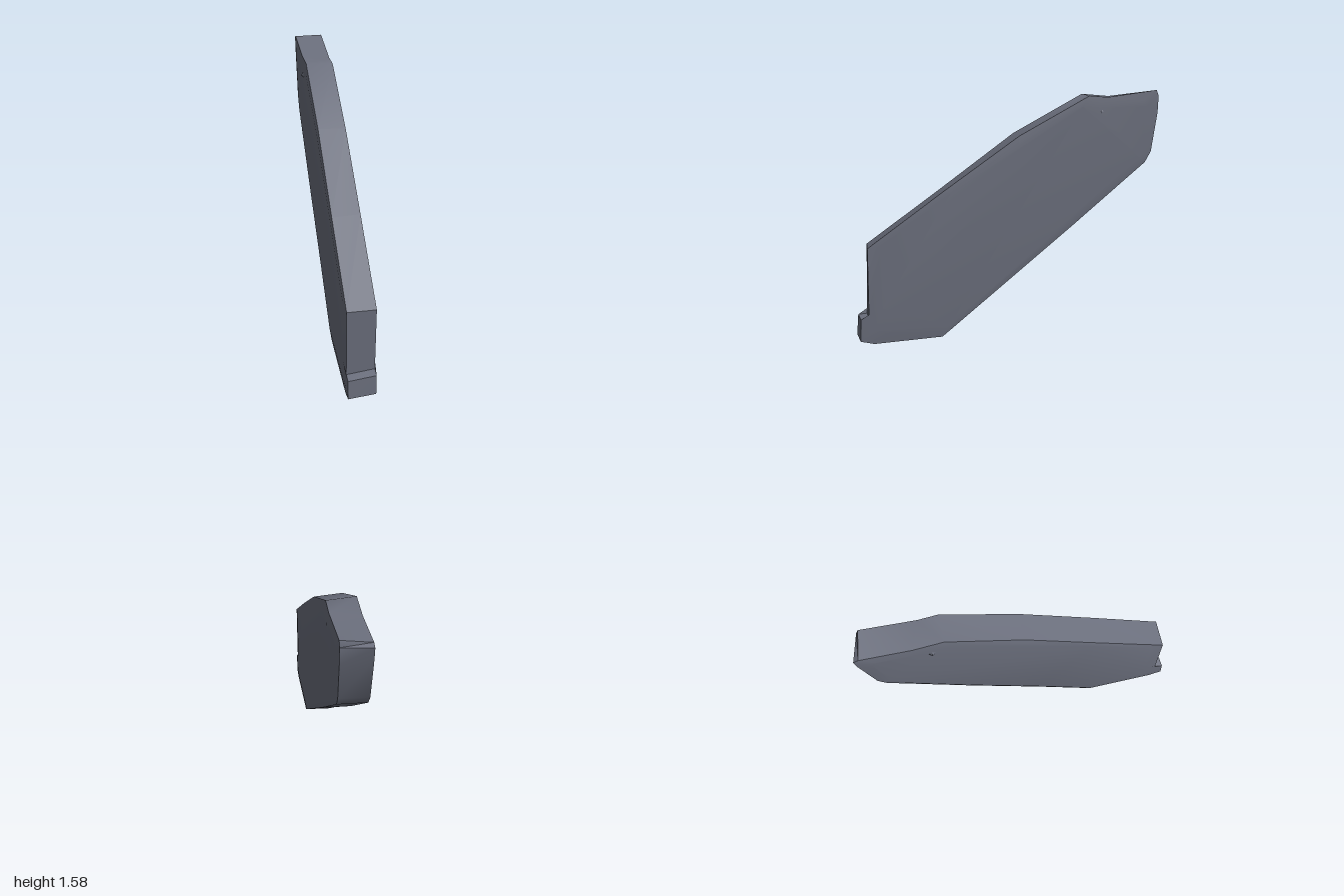
import * as THREE from 'three';
import { toCreasedNormals } from 'three/addons/utils/BufferGeometryUtils.js';

// Outline corners: [z, y] on the right side (-x), then [z, y] on the left side (+x)
const OUTLINE = [
  [1.0, 0.03, 0.985, 0.03],
  [0.99, 0.16, 0.98, 0.17],
  [0.935, 0.165, 0.93, 0.18],
  [0.925, 0.62, 0.93, 0.62],
  [0.45, 0.96, 0.45, 0.965],
  [-0.03, 1.31, -0.03, 1.3],
  [-0.49, 1.56, -0.49, 1.55],
  [-0.67, 1.545, -0.61, 1.54],
  [-0.97, 1.575, -0.94, 1.585],
  [-1.0, 1.56, -0.955, 1.55],
  [-0.99, 1.48, -0.95, 1.44],
  [-0.925, 1.19, -0.91, 1.19],
  [-0.88, 1.12, -0.87, 1.12],
  [-0.4, 0.72, -0.38, 0.715],
  [0.08, 0.34, 0.06, 0.36],
  [0.46, 0.025, 0.47, 0.03],
  [0.92, 0.005, 0.9, 0.01],
];

// One ring of corners for a side, optionally pulled in towards the middle
function ring(side, x, inset) {
  return OUTLINE.map((p) => {
    const [z, y] = side < 0 ? [p[0], p[1]] : [p[2], p[3]];
    return new THREE.Vector3(x, y + (0.8 - y) * inset, z * (1 - inset));
  });
}

function slabGeometry() {
  const rings = [
    ring(-1, -0.09, 0.09),
    ring(-1, -0.082, 0),
    ring(1, 0.092, 0),
    ring(1, 0.098, 0.09),
  ];
  const pos = [];
  const tri = (...pts) => pts.forEach((p) => pos.push(p.x, p.y, p.z));
  const n = OUTLINE.length;
  // Rim and shallow bevels
  for (let r = 0; r < 3; r++) {
    for (let i = 0; i < n; i++) {
      const j = (i + 1) % n;
      const a = rings[r], b = rings[r + 1];
      tri(a[i], b[i], b[j]);
      tri(a[i], b[j], a[j]);
    }
  }
  // Broad side faces, each turned outward
  for (const [pts, side] of [[rings[0], -1], [rings[3], 1]]) {
    const flat = pts.map((p) => new THREE.Vector2(p.z, p.y));
    for (const [i, j, k] of THREE.ShapeUtils.triangulateShape(flat, [])) {
      const normal = pts[j].clone().sub(pts[i]).cross(pts[k].clone().sub(pts[i]));
      if (normal.x * side > 0) tri(pts[i], pts[j], pts[k]);
      else tri(pts[i], pts[k], pts[j]);
    }
  }
  const g = new THREE.BufferGeometry();
  g.setAttribute('position', new THREE.Float32BufferAttribute(pos, 3));
  return toCreasedNormals(g, 0.6);
}

export function createModel() {
  const model = new THREE.Group();
  model.name = 'stoneSlab';
  const stone = new THREE.MeshStandardMaterial({ color: 0x6e7280 });
  stone.name = 'slate grey';

  const slab = new THREE.Mesh(slabGeometry(), stone);
  slab.name = 'slab';
  model.add(slab);

  // Small chips standing out near the upper end
  for (const [name, side, x, height] of [['rightChip', -1, -0.094, 0.024], ['leftChip', 1, 0.097, 0.012]]) {
    const chip = new THREE.Mesh(new THREE.ConeGeometry(0.03, height, 4), stone);
    chip.name = name;
    chip.rotation.z = -side * Math.PI / 2;
    chip.position.set(x, 1.45, -0.57);
    model.add(chip);
  }
  return model;
}
